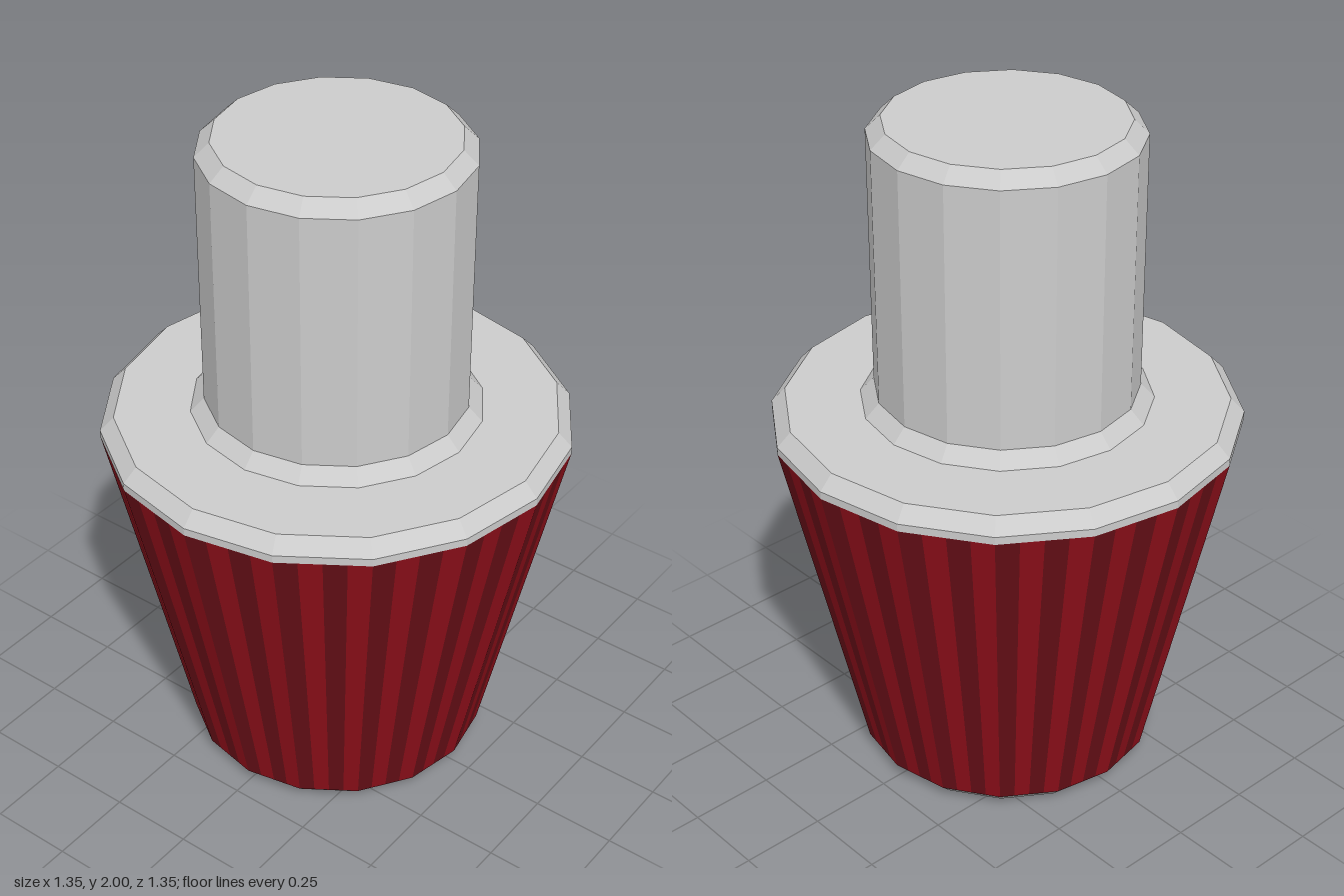
import * as THREE from 'three';

const SIDES = 16;
const STRIPES_PER_SIDE = 4;

const material = (color) => new THREE.MeshStandardMaterial({ color, flatShading: true });

// Faceted turned part from [radius, height] pairs, listed bottom to top
function turned(name, profile, mat) {
  const points = profile.map(([r, y]) => new THREE.Vector2(r, y));
  const mesh = new THREE.Mesh(new THREE.LatheGeometry(points, SIDES), mat);
  mesh.name = name;
  return mesh;
}

// Point on the rim of a 16-sided ring; t counts sides and may be fractional
function rim(t, radius, y) {
  const corner = (i) => {
    const a = (i / SIDES) * Math.PI * 2;
    return new THREE.Vector3(Math.sin(a) * radius, y, Math.cos(a) * radius);
  };
  const i = Math.floor(t);
  return corner(i).lerp(corner(i + 1), t - i);
}

// Every second strip of the tapered body, lying flat on its facets
function stripes(name, offset, [r0, y0], [r1, y1], mat) {
  const positions = [];
  for (let s = offset; s < SIDES * STRIPES_PER_SIDE; s += 2) {
    const t0 = s / STRIPES_PER_SIDE;
    const t1 = (s + 1) / STRIPES_PER_SIDE;
    const a = rim(t0, r0, y0), b = rim(t1, r0, y0);
    const c = rim(t1, r1, y1), d = rim(t0, r1, y1);
    for (const p of [a, b, c, a, c, d]) positions.push(p.x, p.y, p.z);
  }
  const geometry = new THREE.BufferGeometry();
  geometry.setAttribute('position', new THREE.Float32BufferAttribute(positions, 3));
  geometry.computeVertexNormals();
  const mesh = new THREE.Mesh(geometry, mat);
  mesh.name = name;
  return mesh;
}

export function createModel() {
  const model = new THREE.Group();
  model.name = 'taperedStopper';
  const grey = material(0xcccccc);

  const bodyBottom = [0.445, 0.04];
  const bodyTop = [0.677, 1.09];

  // Bevelled underside
  model.add(turned('base', [[0, 0], [0.405, 0], bodyBottom], grey));

  // Tapered body in two alternating reds
  const body = new THREE.Group();
  body.name = 'taperedBody';
  body.add(
    stripes('darkStripes', 0, bodyBottom, bodyTop, material(0x680f17)),
    stripes('brightStripes', 1, bodyBottom, bodyTop, material(0x900f1a)),
  );
  model.add(body);

  // Bevelled collar with its flat shoulder
  model.add(turned('collar', [bodyTop, [0.677, 1.113], [0.637, 1.155], [0.42, 1.155]], grey));

  // Shaft with a flared foot and bevelled top
  model.add(turned('shaft', [[0.42, 1.155], [0.38, 1.197], [0.38, 1.96], [0.338, 2], [0, 2]], grey));

  return model;
}
